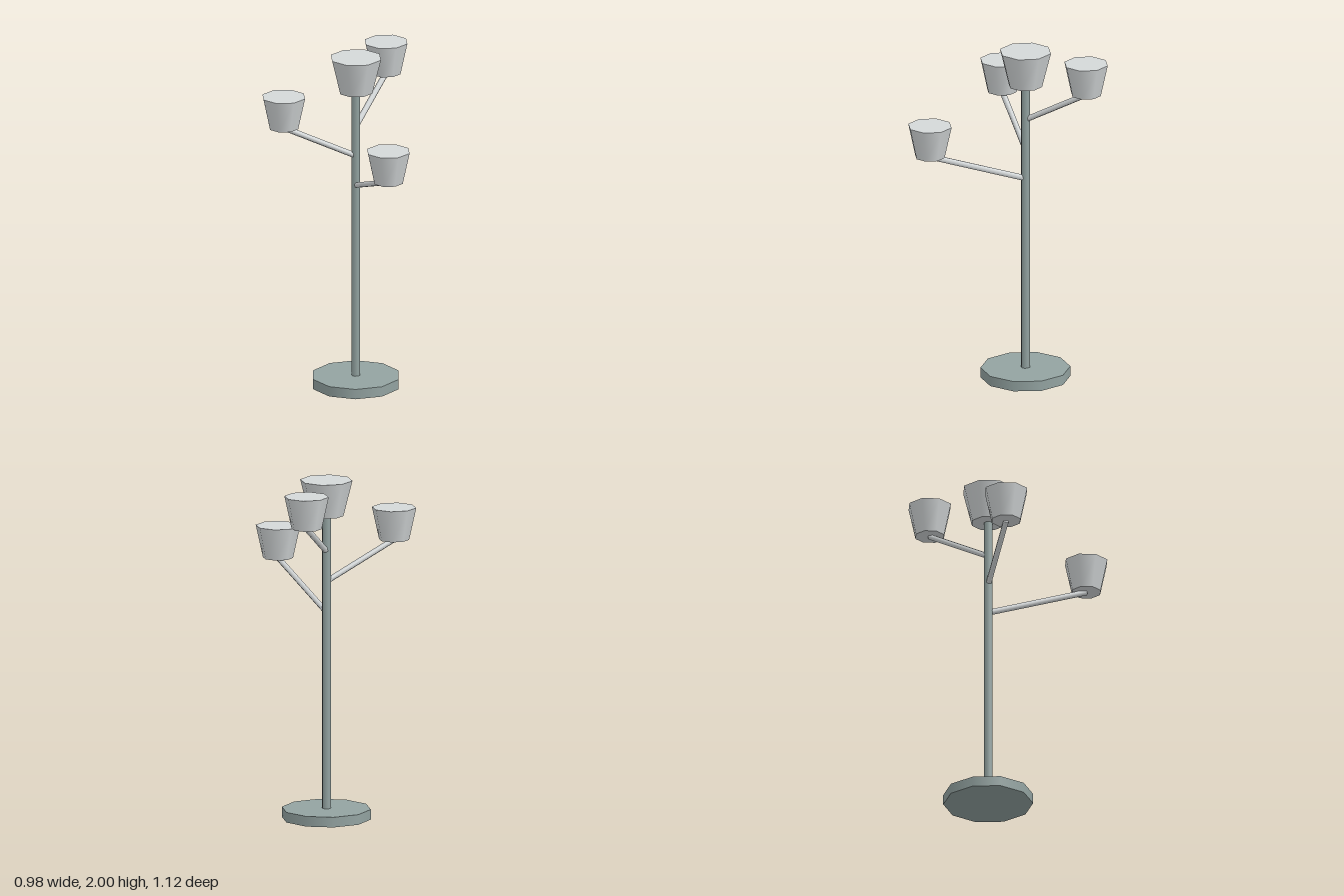
import * as THREE from 'three';

const POLE_Z = -0.05;

export function createModel() {
  const model = new THREE.Group();
  const metal = new THREE.MeshStandardMaterial({ color: 0x93a3a1 });
  metal.name = 'grey green metal';
  const pale = new THREE.MeshStandardMaterial({ color: 0xd4d8d9 });
  pale.name = 'pale grey';

  // Closed cylinder or cone standing on height y
  function addCylinder(name, material, topR, bottomR, height, sides, x, y, z, turn = 0) {
    const geometry = new THREE.CylinderGeometry(topR, bottomR, height, sides, 1, false, turn);
    const mesh = new THREE.Mesh(geometry, material);
    mesh.name = name;
    mesh.position.set(x, y + height / 2, z);
    model.add(mesh);
  }

  // Thin straight rod between two points
  function addRod(name, from, to, radius) {
    const direction = to.clone().sub(from);
    const mesh = new THREE.Mesh(new THREE.CylinderGeometry(radius, radius, direction.length(), 6), pale);
    mesh.name = name;
    mesh.position.copy(from).add(to).multiplyScalar(0.5);
    mesh.quaternion.setFromUnitVectors(new THREE.Vector3(0, 1, 0), direction.normalize());
    model.add(mesh);
  }

  // Base, pole and the larger shade on top
  addCylinder('base', metal, 0.26, 0.26, 0.06, 10, 0, 0, POLE_Z, Math.PI / 2);
  addCylinder('pole', metal, 0.026, 0.026, 1.74, 8, 0, 0.055, POLE_Z);
  addCylinder('topShade', pale, 0.153, 0.1, 0.21, 8, 0, 1.79, POLE_Z);

  // Three rising arms, each carrying a smaller shade
  const branches = [
    ['left', 0.355, 1.43, 0.425],
    ['right', -0.36, 1.61, 0.19],
    ['back', 0.058, 1.79, -0.43],
  ];
  for (const [side, x, y, z] of branches) {
    addRod(side + 'Arm', new THREE.Vector3(0, y - 0.21, POLE_Z), new THREE.Vector3(x, y, z), 0.017);
    addCylinder(side + 'Shade', pale, 0.13, 0.088, 0.19, 8, x, y, z);
  }

  return model;
}
